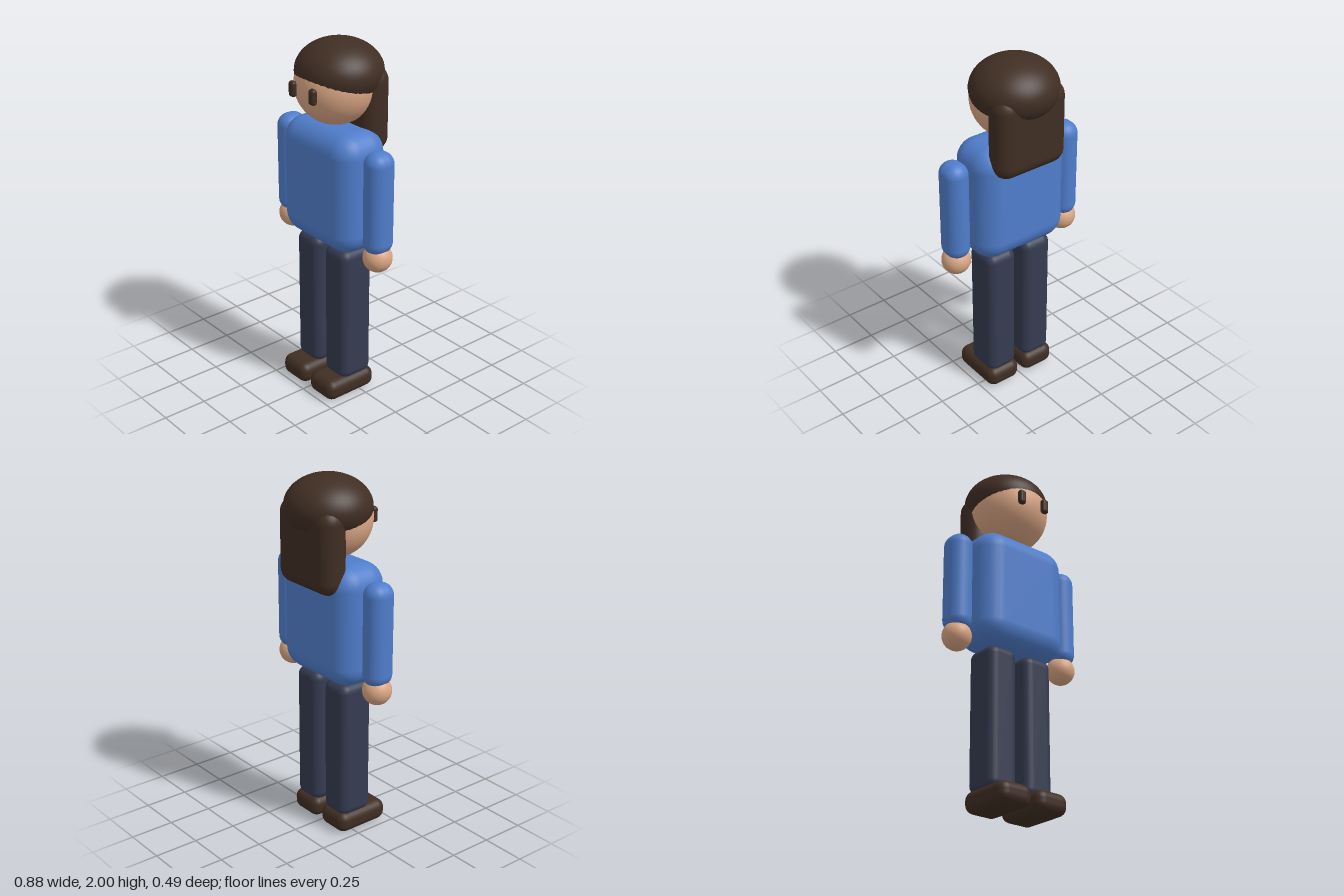
import * as THREE from 'three';
import { RoundedBoxGeometry } from 'three/addons/geometries/RoundedBoxGeometry.js';

export function createModel() {
  const group = new THREE.Group();
  const mat = (name, color) => new THREE.MeshStandardMaterial({ name, color });
  const brown = mat('dark brown', 0x402e23);
  const skin = mat('skin', 0xdaa684);
  const blue = mat('sweater blue', 0x4f7dcb);
  const navy = mat('trouser navy', 0x353b50);

  const add = (name, geometry, material, x, y, z) => {
    const mesh = new THREE.Mesh(geometry, material);
    mesh.name = name;
    mesh.position.set(x, y, z);
    group.add(mesh);
    return mesh;
  };
  const box = (w, h, d, r) => new RoundedBoxGeometry(w, h, d, 4, r);
  const ball = (r) => new THREE.SphereGeometry(r, 40, 28);

  // Body and head
  add('torso', box(0.566, 0.67, 0.324, 0.12), blue, 0, 1.22, 0.024);
  add('head', ball(0.217), skin, 0, 1.767, 0.012);

  // Hair: flattened cap over the head, plus a long slab down the back
  add('hairCap', ball(1), brown, 0, 1.83, -0.013).scale.set(0.236, 0.17, 0.232);
  add('backHair', box(0.434, 0.465, 0.17, 0.08), brown, 0, 1.636, -0.117);

  // Paired parts
  for (const [side, s] of [['left', 1], ['right', -1]]) {
    add(side + 'Eye', box(0.044, 0.085, 0.035, 0.016), brown, s * 0.081, 1.759, 0.226);
    add(side + 'Arm', box(0.14, 0.57, 0.16, 0.068), blue, s * 0.36, 1.215, 0.024);
    add(side + 'Hand', ball(0.079), skin, s * 0.36, 0.905, 0.024);
    add(side + 'Leg', box(0.184, 0.79, 0.206, 0.05), navy, s * 0.118, 0.492, 0.024);
    add(side + 'Shoe', box(0.206, 0.12, 0.326, 0.05), brown, s * 0.119, 0.06, 0.068);
  }
  return group;
}
